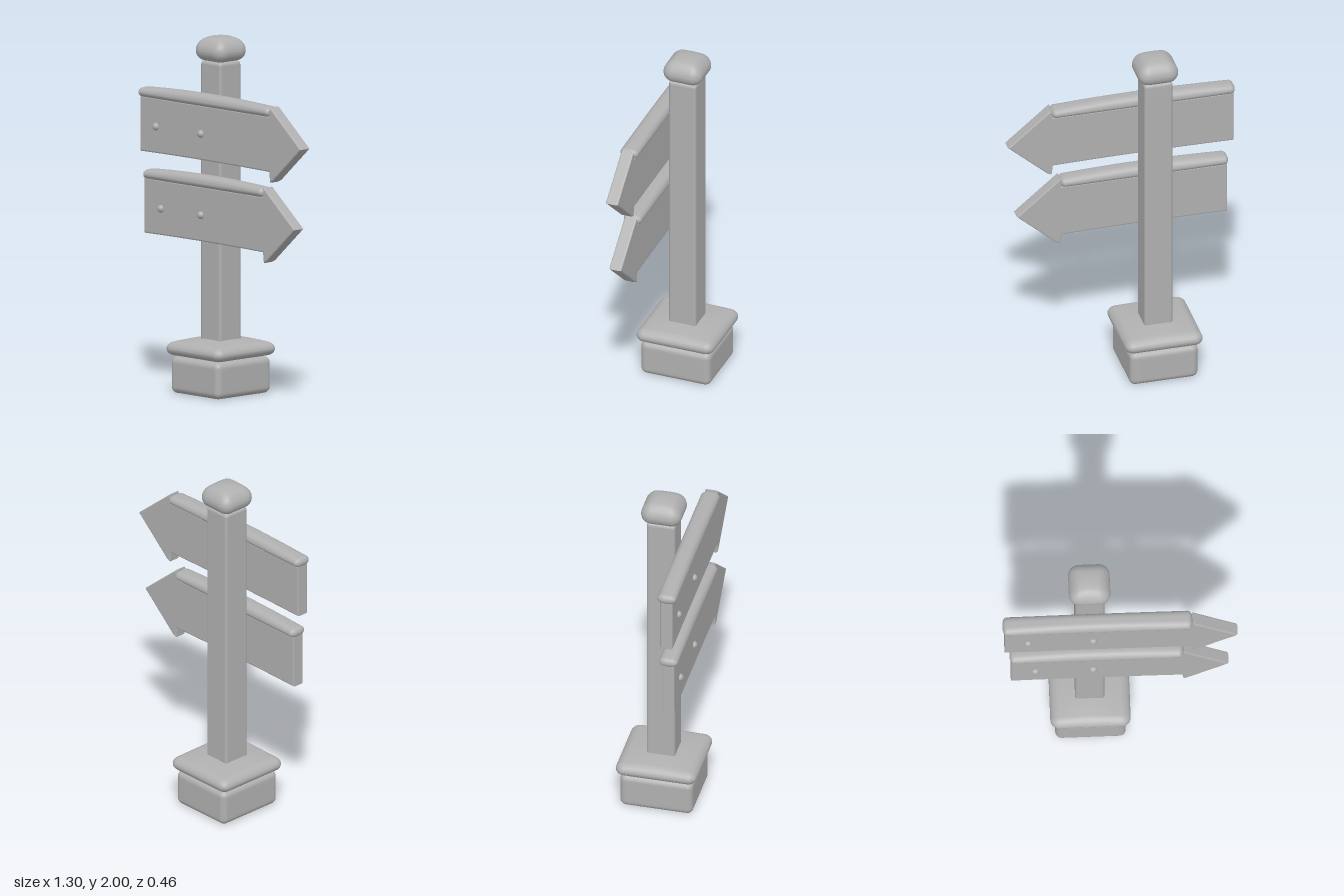
import * as THREE from 'three';
import { mergeVertices } from 'three/addons/utils/BufferGeometryUtils.js';

const POST_X = -0.165;

// Smooth box with its own corner radius per axis and an optional crowned top
function softBox(size, radius, crown = [0, 0, 0]) {
  const n = 16;
  let geo = new THREE.BoxGeometry(2, 2, 2, n, n, n);
  geo.deleteAttribute('uv');
  geo.deleteAttribute('normal');
  geo = mergeVertices(geo);
  const pos = geo.attributes.position;
  const half = size.map((s) => s / 2);
  const [lift, crownX, crownZ] = crown;
  for (let i = 0; i < pos.count; i++) {
    const t = [pos.getX(i), pos.getY(i), pos.getZ(i)];
    // the middle half of the grid spans the flat, the rest turns the corner
    const dir = new THREE.Vector3(...t.map((c) =>
      Math.sign(c) * Math.tan(Math.max(0, Math.abs(c) - 0.5) * Math.PI / 2))).normalize().toArray();
    const p = t.map((c, k) =>
      THREE.MathUtils.clamp(c * 2, -1, 1) * (half[k] - radius[k]) + dir[k] * radius[k]);
    const u = p[0] / half[0], w = p[2] / half[2];
    const top = Math.max(0, p[1] / half[1]);
    p[1] += lift * top * (crownX ? 1 - u * u : 1) * (crownZ ? 1 - w * w : 1);
    pos.setXYZ(i, ...p);
  }
  geo.computeVertexNormals();
  return geo;
}

// Arrow-shaped board outline, measured from the neck of the arrowhead
function boardGeometry(length, tip) {
  const shape = new THREE.Shape();
  shape.moveTo(-length, -0.15);
  shape.quadraticCurveTo(-length / 2, -0.142, -0.007, -0.153);
  shape.lineTo(0, -0.212);
  shape.lineTo(0.025, -0.2);
  shape.lineTo(tip, 0);
  shape.lineTo(0, 0.21);
  shape.lineTo(-0.007, 0.16);
  shape.lineTo(-length, 0.16);
  shape.closePath();
  return new THREE.ExtrudeGeometry(shape, {
    depth: 0.056, bevelThickness: 0.008, bevelSize: 0.008, bevelOffset: -0.008,
    bevelSegments: 2, curveSegments: 8,
  });
}

export function createModel() {
  const model = new THREE.Group();
  model.name = 'signpost';
  const grey = new THREE.MeshStandardMaterial({ color: 0xb0b0b0 });
  grey.name = 'plain grey';

  const add = (parent, name, geo, x, y, z) => {
    const mesh = new THREE.Mesh(geo, grey);
    mesh.name = name;
    mesh.position.set(x, y, z);
    parent.add(mesh);
    return mesh;
  };

  // Footing, plinth slab, post and cap
  add(model, 'footing', softBox([0.39, 0.205, 0.414], [0.035, 0.035, 0.035]), POST_X, 0.1025, 0);
  add(model, 'plinthSlab', softBox([0.445, 0.075, 0.46], [0.05, 0.037, 0.05], [0.025, 1, 1]),
    POST_X, 0.2475, 0);
  add(model, 'post', softBox([0.162, 1.62, 0.162], [0.016, 0.02, 0.016]), POST_X, 1.05, 0);
  add(model, 'cap', softBox([0.23, 0.115, 0.23], [0.06, 0.055, 0.06], [0.025, 1, 1]),
    POST_X, 1.9175, 0);

  // Two arrow boards, each with a top rail and two pegs
  const signs = [
    { name: 'upperSign', neck: 0.4, y: 1.468, length: 1.04, rail: 1.05, pegs: [-0.51, -0.15] },
    { name: 'lowerSign', neck: 0.35, y: 1.013, length: 0.955, rail: 0.962, pegs: [-0.47, -0.15] },
  ];
  for (const s of signs) {
    const sign = new THREE.Group();
    sign.name = s.name;
    sign.position.set(s.neck, s.y, 0.13);
    add(sign, 'board', boardGeometry(s.length, 0.25), 0, 0, -0.028);
    add(sign, 'topRail', softBox([s.rail, 0.054, 0.106], [0.025, 0.026, 0.04], [0.016, 1, 0]),
      -s.rail / 2, 0.179, 0);
    for (const x of s.pegs) {
      add(sign, 'peg', new THREE.SphereGeometry(0.022, 16, 12), x - s.neck, 0, 0.034);
    }
    model.add(sign);
  }
  return model;
}
